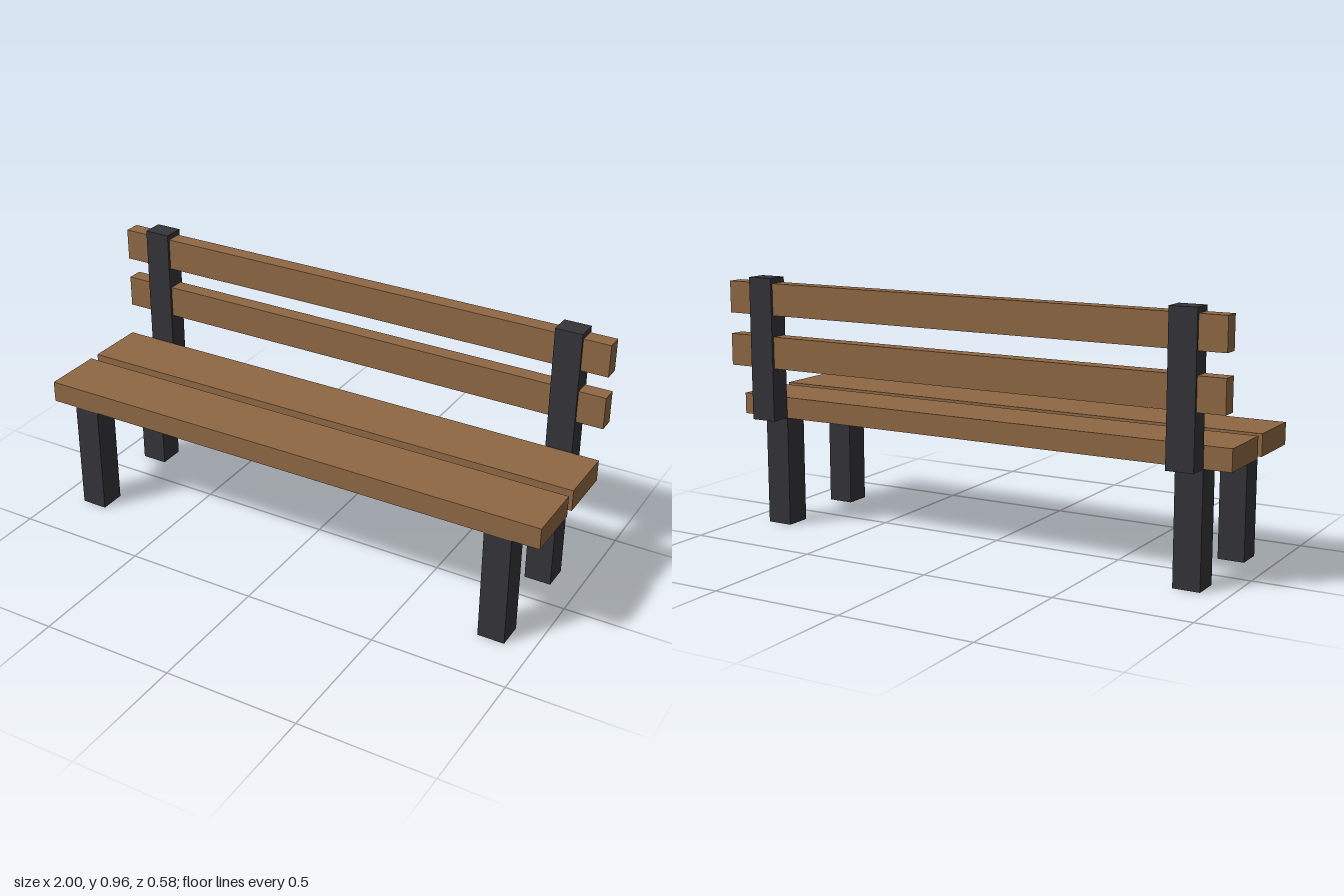
import * as THREE from 'three';

export function createModel() {
  const bench = new THREE.Group();
  bench.name = 'bench';
  const wood = new THREE.MeshStandardMaterial({ color: 0x8f6843 });
  const iron = new THREE.MeshStandardMaterial({ color: 0x343439 });

  // Box given by its x centre and width, and its y and z ranges
  function addBox(name, material, x, width, [y0, y1], [z0, z1]) {
    const mesh = new THREE.Mesh(new THREE.BoxGeometry(width, y1 - y0, z1 - z0), material);
    mesh.position.set(x, (y0 + y1) / 2, (z0 + z1) / 2);
    mesh.name = name;
    bench.add(mesh);
  }

  // Seat planks, with a gap between them
  addBox('frontSeatPlank', wood, 0, 2, [0.42, 0.5], [0.06, 0.29]);
  addBox('rearSeatPlank', wood, 0, 2, [0.42, 0.5], [-0.21, 0.02]);

  // Backrest slats, running through the posts
  addBox('lowerBackSlat', wood, 0, 2, [0.62, 0.74], [-0.28, -0.22]);
  addBox('upperBackSlat', wood, 0, 2, [0.82, 0.94], [-0.28, -0.22]);

  // Legs and back posts, mirrored left and right
  for (const [side, x] of [['left', 0.85], ['right', -0.85]]) {
    addBox(side + 'FrontLeg', iron, x, 0.1, [0, 0.42], [0.19, 0.29]);
    addBox(side + 'RearLeg', iron, x, 0.1, [0, 0.42], [-0.21, -0.11]);
    addBox(side + 'BackPost', iron, x, 0.1, [0.42, 0.96], [-0.29, -0.21]);
  }
  return bench;
}
